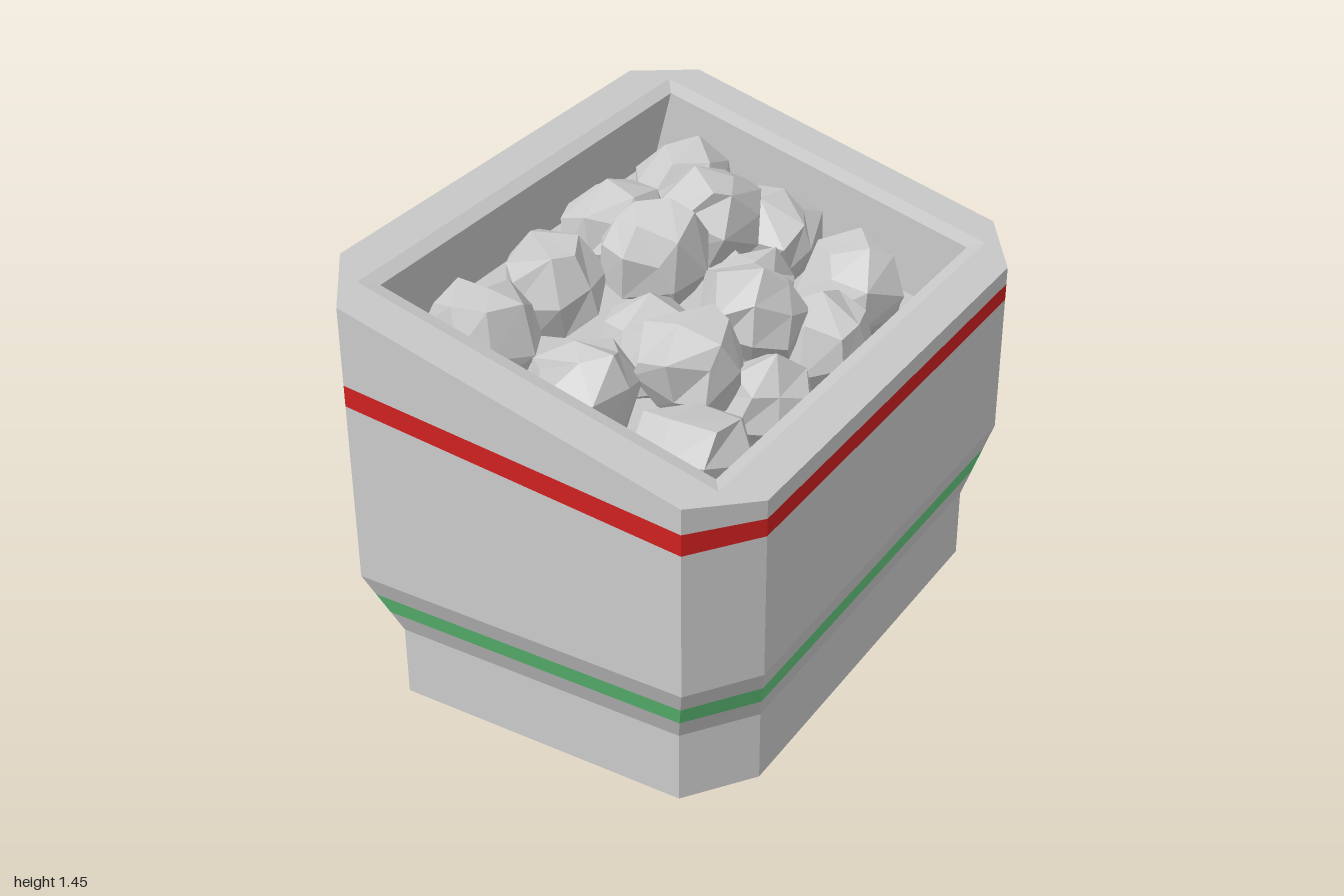
import * as THREE from 'three';

const grey = new THREE.MeshStandardMaterial({ color: 0xcccccc, flatShading: true });
const red = new THREE.MeshStandardMaterial({ color: 0xd02020, flatShading: true });
const green = new THREE.MeshStandardMaterial({ color: 0x66cc80, flatShading: true });

// Sloping plane of the top rim, falling towards +x
const rimY = (x) => 1.265 - 0.257 * x;

// Eight-sided ring, counter-clockwise from above: cx, cz are the ends of the straight sides
function ring(hx, hz, cx, cz, height) {
  const pts = [[-cx, hz], [cx, hz], [hx, cz], [hx, -cz], [cx, -hz], [-cx, -hz], [-hx, -cz], [-hx, cz]];
  return pts.map(([x, z]) => new THREE.Vector3(x, typeof height === 'function' ? height(x) : height, z));
}

// Skin a stack of rings, with optional end faces
function loft(name, rings, material, { capStart = false, capEnd = false } = {}) {
  const pos = [];
  const tri = (...v) => v.forEach((p) => pos.push(p.x, p.y, p.z));
  for (let r = 0; r + 1 < rings.length; r++) {
    const a = rings[r], b = rings[r + 1];
    for (let i = 0; i < a.length; i++) {
      const j = (i + 1) % a.length;
      tri(a[i], a[j], b[j]);
      tri(a[i], b[j], b[i]);
    }
  }
  const first = rings[0], last = rings[rings.length - 1];
  for (let i = 1; i + 1 < first.length; i++) {
    if (capStart) tri(first[0], first[i + 1], first[i]);
    if (capEnd) tri(last[0], last[i], last[i + 1]);
  }
  const geo = new THREE.BufferGeometry();
  geo.setAttribute('position', new THREE.Float32BufferAttribute(pos, 3));
  geo.computeVertexNormals();
  const mesh = new THREE.Mesh(geo, material);
  mesh.name = name;
  return mesh;
}

function seeded(seed) {
  let s = seed;
  return () => ((s = (s * 16807) % 2147483647) / 2147483647);
}

// Rock: a rounded, slightly irregular box with four facets per side
function rock(x, y, z, radius, seed) {
  const rand = seeded(seed * 7919 + 13);
  const geo = new THREE.BoxGeometry(2, 2, 2, 2, 2, 2);
  const p = geo.attributes.position;
  const v = new THREE.Vector3();
  const jitter = new Map();
  for (let i = 0; i < p.count; i++) {
    v.fromBufferAttribute(p, i);
    const key = `${Math.round(v.x)},${Math.round(v.y)},${Math.round(v.z)}`;
    if (!jitter.has(key)) {
      jitter.set(key, new THREE.Vector3(rand() - 0.5, rand() - 0.5, rand() - 0.5).multiplyScalar(0.26));
    }
    v.normalize().add(jitter.get(key)).multiplyScalar(radius);
    p.setXYZ(i, v.x, v.y, v.z);
  }
  geo.computeVertexNormals();
  const mesh = new THREE.Mesh(geo, grey);
  mesh.position.set(x, y, z);
  mesh.rotation.set(rand() - 0.5, rand() * 3, rand() - 0.5);
  mesh.name = 'rock';
  return mesh;
}

export function createModel() {
  const model = new THREE.Group();
  model.name = 'rockBin';

  // Outline on the flared part between base (t = 0) and body (t = 1)
  const flare = (t) => ring(0.655 + 0.065 * t, 0.9 + 0.1 * t, 0.5 + 0.07 * t, 0.69 + 0.1 * t, 0.24 + 0.24 * t);
  const body = (h) => ring(0.72, 1, 0.57, 0.79, h);
  const clampX = (x) => THREE.MathUtils.clamp(x, -0.6, 0.6);
  const bandLow = (x) => 1.025 - 0.105 * clampX(x);
  const bandHigh = (x) => 1.095 - 0.11 * x * 0.95;

  // Outer shell with its coloured bands
  model.add(loft('base', [ring(0.655, 0.9, 0.5, 0.69, 0), flare(0), flare(1 / 3)], grey, { capStart: true }));
  model.add(loft('greenBand', [flare(1 / 3), flare(2 / 3)], green));
  model.add(loft('lowerBody', [flare(2 / 3), flare(1), body(bandLow)], grey));
  model.add(loft('redBand', [body(bandLow), body(bandHigh)], red));
  model.add(loft('upperBody', [body(bandHigh), body(rimY)], grey));

  // Rim, small inner bevel and a recess sunk square to the sloping rim
  const rect = (hx, hz, drop) => ring(hx, hz, hx, hz, (x) => rimY(x) - drop);
  const lip = rect(0.565, 0.806, 0.014);
  const floor = lip.map((p) => new THREE.Vector3(p.x - 0.067, p.y - 0.26, p.z));
  model.add(loft('rim', [body(rimY), rect(0.605, 0.86, 0), lip], grey));
  model.add(loft('recess', [lip, floor], grey, { capEnd: true }));

  // Rocks: x, z, radius, height of centre above the recess floor
  const rocks = new THREE.Group();
  rocks.name = 'rocks';
  const spots = [
    [-0.36, -0.55, 0.185, 0.1], [-0.02, -0.58, 0.17, 0.1], [0.3, -0.52, 0.185, 0.1],
    [-0.38, -0.17, 0.18, 0.1], [0.08, -0.22, 0.16, 0.1], [0.37, -0.19, 0.17, 0.1],
    [-0.37, 0.2, 0.175, 0.1], [0, 0.25, 0.165, 0.09], [0.38, 0.21, 0.16, 0.1],
    [-0.37, 0.58, 0.18, 0.1], [-0.02, 0.58, 0.175, 0.1], [0.36, 0.59, 0.175, 0.1],
    [-0.13, -0.34, 0.175, 0.22], [-0.12, 0.02, 0.175, 0.25],
    [0.21, 0, 0.175, 0.21], [0.21, 0.35, 0.175, 0.21],
  ];
  spots.forEach(([x, z, r, h], i) => rocks.add(rock(x, rimY(x) - 0.28 + h, z, r, i + 1)));
  model.add(rocks);
  return model;
}
